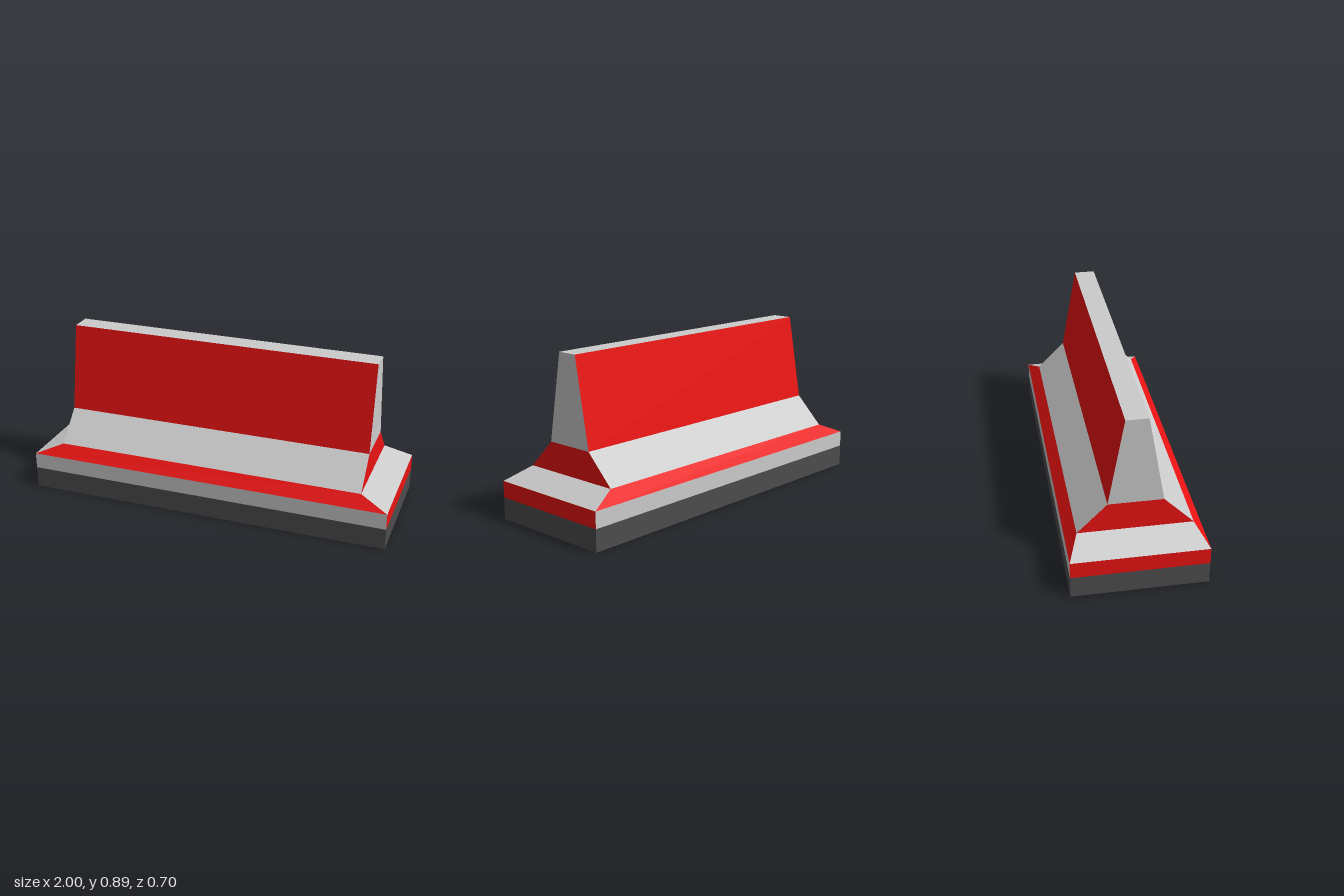
import * as THREE from 'three';

const paint = (color) => new THREE.MeshStandardMaterial({ color, flatShading: true });

// Flat quad, corners counter-clockwise seen from outside
function quad(name, corners, material) {
  const [a, b, c, d] = corners;
  const geometry = new THREE.BufferGeometry();
  geometry.setAttribute('position', new THREE.Float32BufferAttribute([a, b, c, a, c, d].flat(), 3));
  geometry.computeVertexNormals();
  const mesh = new THREE.Mesh(geometry, material);
  mesh.name = name;
  return mesh;
}

// Corners of a level section: front left, front right, back right, back left as seen from the front
const ring = ([y, x, z]) => [[-x, y, z], [x, y, z], [x, y, -z], [-x, y, -z]];

export function createModel() {
  const barrier = new THREE.Group();
  barrier.name = 'roadBarrier';
  const grey = paint(0xcccccc);
  const red = paint(0xea1212);
  const dark = paint(0x4d4d4d);

  // Height, half length and half depth of each section
  const sections = [
    [0, 1, 0.348],
    [0.117, 1, 0.348],
    [0.205, 1, 0.348],
    [0.267, 0.85, 0.293],
    [0.422, 0.85, 0.14],
    [0.89, 0.85, 0.057],
  ].map(ring);

  // Tiers: long faces and end faces swap red and grey
  const tiers = [
    ['rubberBase', dark, dark],
    ['footBand', grey, red],
    ['footSlope', red, grey],
    ['lowerSlope', grey, red],
    ['upperWall', red, grey],
  ];
  const sides = ['Front', 'LeftEnd', 'Back', 'RightEnd'];
  tiers.forEach(([name, long, end], i) => {
    const tier = new THREE.Group();
    tier.name = name;
    const lo = sections[i], hi = sections[i + 1];
    sides.forEach((side, k) => {
      const n = (k + 1) % 4;
      tier.add(quad(name + side, [lo[k], lo[n], hi[n], hi[k]], k % 2 ? end : long));
    });
    barrier.add(tier);
  });

  // Top and underside
  barrier.add(quad('topFace', sections[5], grey));
  barrier.add(quad('underside', [...sections[0]].reverse(), dark));
  return barrier;
}
